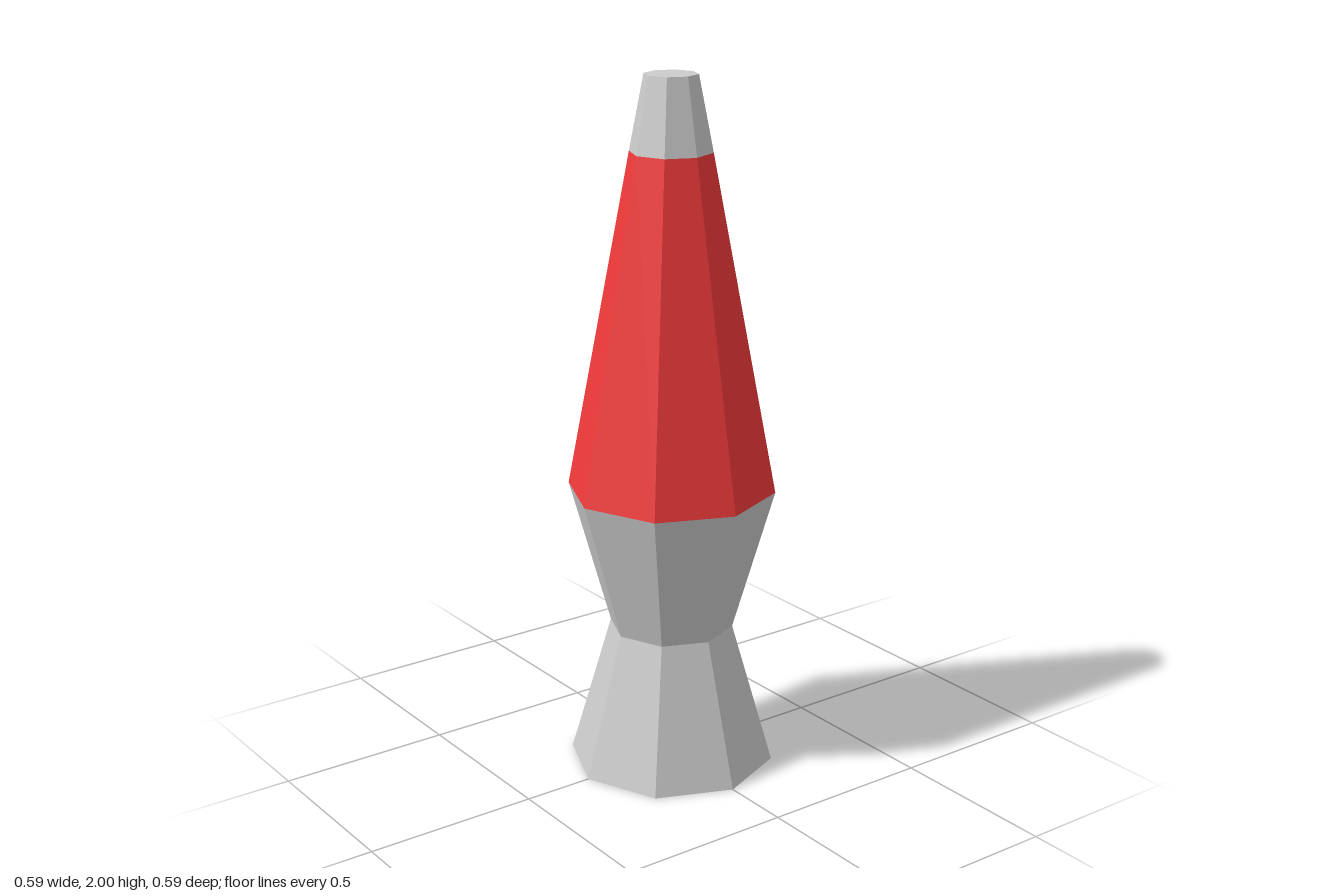
import * as THREE from 'three';

const SIDES = 8;

export function createModel() {
  const group = new THREE.Group();
  const grey = new THREE.MeshStandardMaterial({ color: 0xcccccc, flatShading: true });
  const red = new THREE.MeshStandardMaterial({ color: 0xf23a3a, flatShading: true });

  // Octagonal profile: [radius, height] from floor to tip
  const foot = [0.297, 0], waist = [0.178, 0.415], rim = [0.297, 0.83];
  const neck = [0.116, 1.79], tip = [0.075, 2];

  // Faceted shell through the given rings; corners lie on the axes
  const addPart = (name, rings, material) => {
    const points = rings.map(([r, y]) => new THREE.Vector2(r, y));
    const mesh = new THREE.Mesh(new THREE.LatheGeometry(points, SIDES), material);
    mesh.name = name;
    group.add(mesh);
  };

  // Hourglass stand, closed underneath
  addPart('base', [[0, 0], foot, waist, rim], grey);
  // Tapered glass body
  addPart('glassBody', [rim, neck], red);
  // Cap, closed on top
  addPart('cap', [neck, tip, [0, 2]], grey);

  return group;
}
